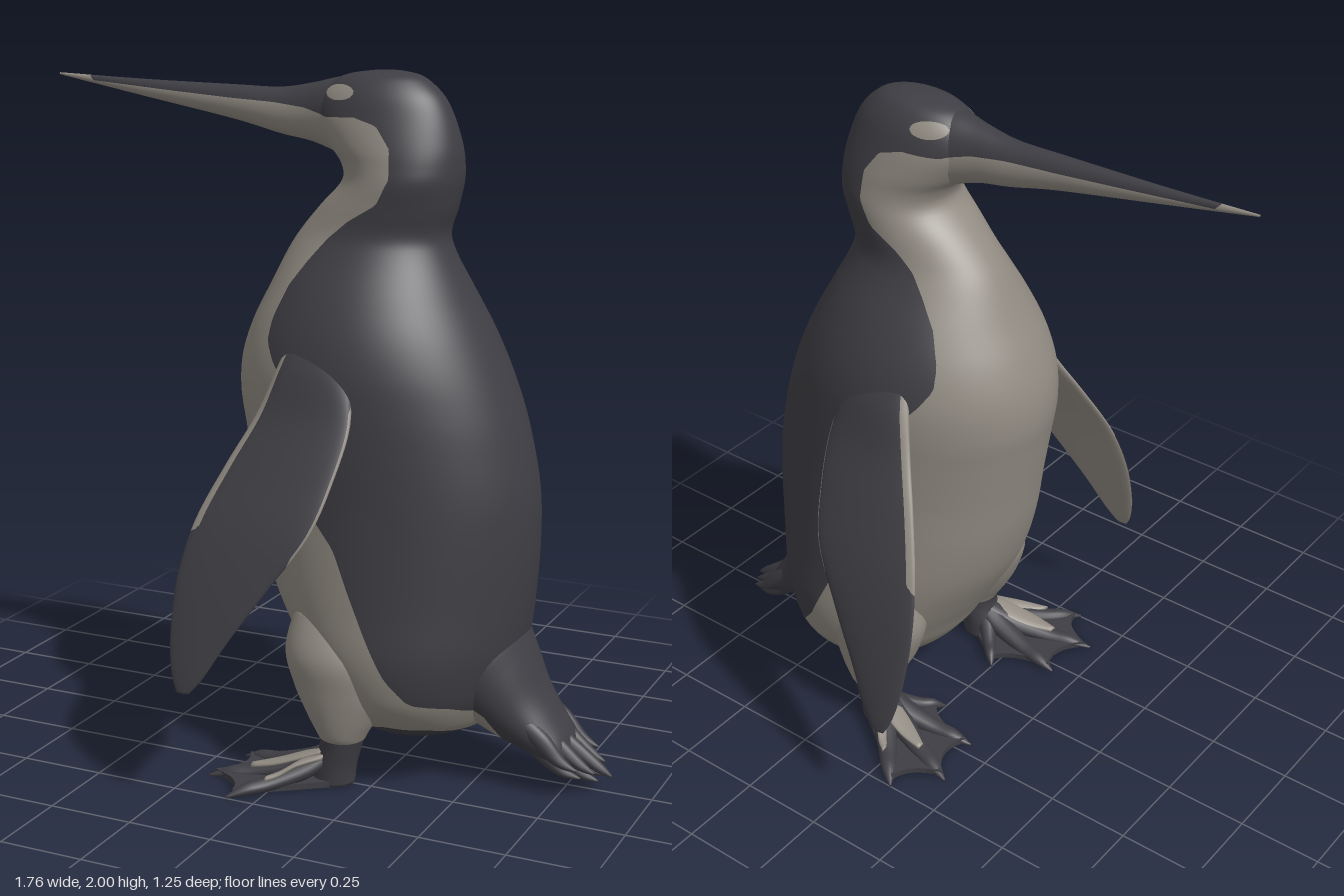
import * as THREE from 'three';

const dark = new THREE.MeshStandardMaterial({ color: 0x3f3e44 });
dark.name = 'darkPlumage';
const pale = new THREE.MeshStandardMaterial({ color: 0x918b82 });
pale.name = 'palePlumage';

// Resample rows of numbers along a Catmull-Rom curve
function smooth(rows, steps) {
  const out = [], last = rows.length - 1;
  for (let i = 0; i < last; i++) {
    const a = rows[Math.max(i - 1, 0)], b = rows[i], c = rows[i + 1], d = rows[Math.min(i + 2, last)];
    for (let k = 0; k < steps; k++) {
      const t = k / steps;
      out.push(b.map((v, j) => v + 0.5 * t * (c[j] - a[j] + t * (2 * a[j] - 5 * v + 4 * c[j] - d[j]
        + t * (3 * (v - c[j]) + d[j] - a[j])))));
    }
  }
  out.push(rows[last]);
  return out;
}

// Closed skin over elliptical rings: centre c, half axes u and v
function loft(rings, sides) {
  const ends = [rings[0], rings[rings.length - 1]].map(r => ({ c: r.c, u: [0, 0, 0], v: [0, 0, 0] }));
  const all = [ends[0], ...rings, ends[1]], pos = [], idx = [];
  all.forEach(({ c, u, v }, i) => {
    for (let j = 0; j < sides; j++) {
      const a = (j / sides) * Math.PI * 2, p = Math.cos(a), q = Math.sin(a);
      for (let k = 0; k < 3; k++) pos.push(c[k] + u[k] * p + v[k] * q);
      if (i === 0) continue;
      const n = (j + 1) % sides, A = (i - 1) * sides, B = i * sides;
      if (i > 1) idx.push(A + j, B + j, A + n);
      if (i < all.length - 1) idx.push(A + n, B + j, B + n);
    }
  });
  // turn the faces outward
  const P = i => new THREE.Vector3().fromArray(pos, i * 3);
  let volume = 0;
  for (let i = 0; i < idx.length; i += 3) volume += P(idx[i]).cross(P(idx[i + 1])).dot(P(idx[i + 2]));
  if (volume < 0) idx.reverse();
  const g = new THREE.BufferGeometry();
  g.setAttribute('position', new THREE.Float32BufferAttribute(pos, 3));
  g.setIndex(idx);
  g.computeVertexNormals();
  return g;
}

// Cut a skin along f = 0: pale where f > 0, dark elsewhere
function painted(name, geo, f) {
  const g = geo.toNonIndexed(), p = g.attributes.position, n = g.attributes.normal;
  const group = new THREE.Group();
  group.name = name;
  const sets = [[1, pale, 'Pale', []], [-1, dark, 'Dark', []]];
  for (let i = 0; i < p.count; i += 3) {
    const tri = [0, 1, 2].map(k => {
      const v = [p.getX(i + k), p.getY(i + k), p.getZ(i + k), n.getX(i + k), n.getY(i + k), n.getZ(i + k)];
      return { v, f: f(v[0], v[1], v[2]) || -1e-9 };
    });
    for (const [sign, , , out] of sets) {
      const poly = [];
      tri.forEach((a, k) => {
        const b = tri[(k + 1) % 3];
        if (a.f * sign > 0) poly.push(a.v);
        if (a.f * b.f < 0) poly.push(a.v.map((x, j) => x + (b.v[j] - x) * a.f / (a.f - b.f)));
      });
      for (let k = 2; k < poly.length; k++) out.push(poly[0], poly[k - 1], poly[k]);
    }
  }
  for (const [, mat, label, out] of sets) {
    if (!out.length) continue;
    const h = new THREE.BufferGeometry();
    h.setAttribute('position', new THREE.Float32BufferAttribute(out.flatMap(v => v.slice(0, 3)), 3));
    h.setAttribute('normal', new THREE.Float32BufferAttribute(out.flatMap(v => v.slice(3)), 3));
    const m = new THREE.Mesh(h, mat);
    m.name = name + label;
    group.add(m);
  }
  return group;
}

// Side outline (x, y) of the pale bill, throat and belly
const bib = [[-0.95, 2.02], [-0.79, 2.02], [-0.77, 1.945], [-0.5, 1.925], [-0.3, 1.912], [-0.15, 1.905], [-0.05, 1.895],
  [0.03, 1.875], [0.13, 1.88], [0.2, 1.86], [0.245, 1.8], [0.25, 1.72], [0.215, 1.65], [0.13, 1.6], [0.07, 1.55],
  [0.02, 1.49], [-0.03, 1.42], [-0.065, 1.33], [-0.07, 1.27], [-0.04, 1.22], [0.02, 1.15], [0.06, 1], [0.1, 0.8],
  [0.17, 0.72], [0.22, 0.6], [0.27, 0.49], [0.33, 0.37], [0.39, 0.295], [0.48, 0.275], [0.55, 0.23], [0.585, 0.16],
  [0.57, 0.09], [0.5, 0.17], [0.42, 0.195], [0.3, 0.2], [0.2, 0.17], [0.1, 0.1], [-0.5, 0.1], [-0.5, 1.5], [-0.95, 1.9]];

// Signed distance to the bib, joined with the eye patch
function plumage(x, y) {
  let d = Infinity, inside = false;
  bib.forEach(([ax, ay], i) => {
    const [bx, by] = bib[(i + 1) % bib.length], ex = bx - ax, ey = by - ay;
    const t = THREE.MathUtils.clamp(((x - ax) * ex + (y - ay) * ey) / (ex * ex + ey * ey), 0, 1);
    d = Math.min(d, Math.hypot(x - ax - ex * t, y - ay - ey * t));
    if ((ay > y) !== (by > y) && x < ax + ex * (y - ay) / ey) inside = !inside;
  });
  const eye = 0.022 * (1 - Math.hypot((x - 0.07) / 0.05, (y - 1.943) / 0.021));
  return Math.max(inside ? d : -d, eye);
}

// Body and head: y, front x, back x, half width
const bodyRows = [[2, 0.14, 0.22, 0.025], [1.99, 0.07, 0.27, 0.06], [1.97, 0.02, 0.305, 0.085], [1.93, -0.02, 0.345, 0.11],
  [1.87, -0.03, 0.375, 0.13], [1.8, 0.01, 0.395, 0.147], [1.75, 0.05, 0.4, 0.155], [1.7, 0.055, 0.398, 0.162],
  [1.63, -0.01, 0.383, 0.163], [1.56, -0.07, 0.363, 0.168], [1.5, -0.11, 0.378, 0.195], [1.4, -0.16, 0.43, 0.255],
  [1.3, -0.21, 0.485, 0.3], [1.2, -0.243, 0.533, 0.325], [1.1, -0.25, 0.573, 0.332], [1, -0.235, 0.603, 0.333],
  [0.85, -0.21, 0.633, 0.335], [0.7, -0.185, 0.637, 0.343], [0.55, -0.14, 0.627, 0.352], [0.42, -0.07, 0.61, 0.36],
  [0.32, -0.01, 0.585, 0.345], [0.25, 0.03, 0.56, 0.315], [0.18, 0.09, 0.52, 0.25], [0.147, 0.16, 0.46, 0.18]];
// Bill: x, top, bottom, half width
const billRows = [[-0.88, 1.963, 1.957, 0.003], [-0.6, 1.953, 1.905, 0.018], [-0.3, 1.947, 1.85, 0.037],
  [-0.15, 1.945, 1.815, 0.05], [-0.05, 1.96, 1.797, 0.062], [0.03, 1.978, 1.77, 0.082], [0.1, 1.985, 1.74, 0.1],
  [0.2, 1.97, 1.75, 0.1]];
// Tail: x, y, half depth, half width
const tailRows = [[0.44, 0.45, 0.09, 0.18], [0.495, 0.365, 0.145, 0.205], [0.55, 0.29, 0.135, 0.175],
  [0.615, 0.215, 0.1, 0.14], [0.68, 0.16, 0.07, 0.118], [0.73, 0.122, 0.045, 0.105], [0.76, 0.1, 0.015, 0.09]];
// Flipper: y, front x, back x, centre z, half thickness
const flipperRows = [[1.27, 0, 0.16, 0.265, 0.03], [1.2, -0.02, 0.2, 0.3, 0.033], [1.08, -0.06, 0.225, 0.345, 0.028],
  [0.95, -0.12, 0.21, 0.41, 0.024], [0.8, -0.18, 0.168, 0.482, 0.021], [0.65, -0.208, 0.07, 0.537, 0.018],
  [0.5, -0.207, -0.03, 0.582, 0.014], [0.4, -0.19, -0.09, 0.609, 0.01], [0.35, -0.168, -0.13, 0.622, 0.004]];

function flipper(s) {
  const rows = smooth(flipperRows, 5);
  const rings = rows.map(([y, f, b, z, t]) => ({ c: [(f + b) / 2, y, z * s], u: [(b - f) / 2, 0, 0], v: [0, 0, t] }));
  // inner face, upper leading edge and a thin trailing edge are pale
  return painted('flipper', loft(rings, 40), (x, y, z) => {
    const r = rows.reduce((m, q) => (Math.abs(q[0] - y) < Math.abs(m[0] - y) ? q : m));
    const lead = y > 0.78 ? Math.max(0, 0.035 - (x - r[1])) : 0;
    const trail = y > 0.72 && y < 1.12 ? Math.max(0, 0.014 - (r[2] - x)) : 0;
    return r[3] - z * s + lead + trail - 0.001;
  });
}

function foot(s) {
  const group = new THREE.Group();
  group.name = 'foot';
  const add = (name, geo, mat) => {
    const m = new THREE.Mesh(geo, mat);
    m.name = name;
    group.add(m);
  };
  // upright limb: y, front x, back x, centre z, half width
  const limb = (name, rows, mat) => add(name, loft(smooth(rows, 5).map(([y, f, b, z, w]) =>
    ({ c: [(f + b) / 2, y, z * s], u: [(b - f) / 2, 0, 0], v: [0, 0, w] })), 28), mat);
  limb('thigh', [[0.52, 0.02, 0.2, 0.25, 0.06], [0.4, -0.01, 0.29, 0.252, 0.112], [0.3, 0.015, 0.3, 0.252, 0.108],
    [0.22, 0.055, 0.27, 0.256, 0.094], [0.165, 0.09, 0.24, 0.26, 0.078], [0.145, 0.1, 0.23, 0.26, 0.068]], pale);
  limb('leg', [[0.165, 0.095, 0.235, 0.26, 0.072], [0.12, 0.1, 0.22, 0.26, 0.066],
    [0.06, 0.08, 0.205, 0.26, 0.062], [0.01, 0.07, 0.2, 0.26, 0.06]], dark);
  // webbing with scalloped edge between the toe tips
  const web = new THREE.Shape();
  web.moveTo(0.19, 0.25 * s);
  web.lineTo(0.02, 0.14 * s);
  web.quadraticCurveTo(-0.02, 0.21 * s, -0.15, 0.22 * s);
  web.quadraticCurveTo(-0.1, 0.3 * s, -0.185, 0.375 * s);
  web.quadraticCurveTo(-0.08, 0.41 * s, -0.075, 0.48 * s);
  web.lineTo(0.19, 0.29 * s);
  const sheet = new THREE.ExtrudeGeometry(web, { depth: 0.018, bevelEnabled: false, curveSegments: 8 });
  add('web', sheet.rotateX(Math.PI / 2).translate(0, 0.026, 0), dark);
  // toes tapering to claws
  for (const [tx, tz, r] of [[-0.17, 0.215, 0.03], [-0.2, 0.385, 0.032], [-0.085, 0.5, 0.03], [0, 0.12, 0.022]]) {
    const rows = smooth([[0.14, 0.05, 0], [0.08, 0.05, 0.25], [0.04, 0.036, 0.6], [0.03, 0.028, 0.82], [0.01, 0.004, 1]], 4);
    const d = new THREE.Vector2(tx - 0.13, tz - 0.265).normalize();
    add('toe', loft(rows.map(([y, w, t]) => {
      const k = w * r / 0.04, h = Math.max(0.004, w * 0.6);
      return { c: [0.13 + (tx - 0.13) * t, Math.max(h, y * 0.7), (0.265 + (tz - 0.265) * t) * s],
        u: [-d.y * k, 0, d.x * k * s], v: [0, h, 0] };
    }), 14), dark);
  }
  // pale marks over the instep and outer toe
  const marks = [[[0.12, 0.105, 0.285, 0.03], [0.06, 0.085, 0.303, 0.035], [-0.01, 0.062, 0.325, 0.03], [-0.08, 0.046, 0.345, 0.012]],
    [[0.13, 0.095, 0.31, 0.02], [0.07, 0.078, 0.345, 0.028], [0.03, 0.055, 0.39, 0.022], [0, 0.046, 0.42, 0.01]]];
  for (const mark of marks) {
    add('instepMark', loft(smooth(mark, 4).map(([x, y, z, w]) => ({ c: [x, y, z * s], u: [0, 0, w], v: [0, 0.009, 0] })), 14), pale);
  }
  return group;
}

export function createModel() {
  const model = new THREE.Group();
  model.name = 'penguin';
  const body = smooth(bodyRows, 5).map(([y, f, b, w]) => ({ c: [(f + b) / 2, y, 0], u: [(b - f) / 2, 0, 0], v: [0, 0, w] }));
  model.add(painted('body', loft(body, 96), plumage));
  const bill = smooth(billRows, 8).map(([x, t, b, w]) => ({ c: [x, (t + b) / 2, 0], u: [0, (t - b) / 2, 0], v: [0, 0, w] }));
  model.add(painted('bill', loft(bill, 48), plumage));
  const tail = smooth(tailRows, 5).map(([x, y, h, w]) => ({ c: [x, y, 0], u: [0.6 * h, 0.8 * h, 0], v: [0, 0, w] }));
  model.add(painted('tail', loft(tail, 48), plumage));
  // fanned tail feathers, the outer ones shorter
  for (let i = -4; i <= 4; i++) {
    const low = i % 2 ? 1 : 0, out = Math.abs(i), reach = 0.88 - 0.018 * out - 0.015 * low;
    const quill = [[0.62, 0.235 - 0.05 * low, 0.02, 0.024], [0.7, 0.165 - 0.045 * low, 0.028, 0.025],
      [reach - 0.05, 0.08 + 0.008 * out - 0.03 * low, 0.017, 0.02], [reach, 0.05 + 0.01 * out - 0.02 * low, 0.004, 0.004]];
    const rings = smooth(quill, 5).map(([x, y, h, w]) => ({ c: [x, y, i * 0.0245], u: [0.6 * h, 0.8 * h, 0], v: [0, 0, w] }));
    const m = new THREE.Mesh(loft(rings, 12), dark);
    m.name = 'tailFeather';
    model.add(m);
  }
  for (const s of [1, -1]) model.add(flipper(s), foot(s));
  return model;
}
